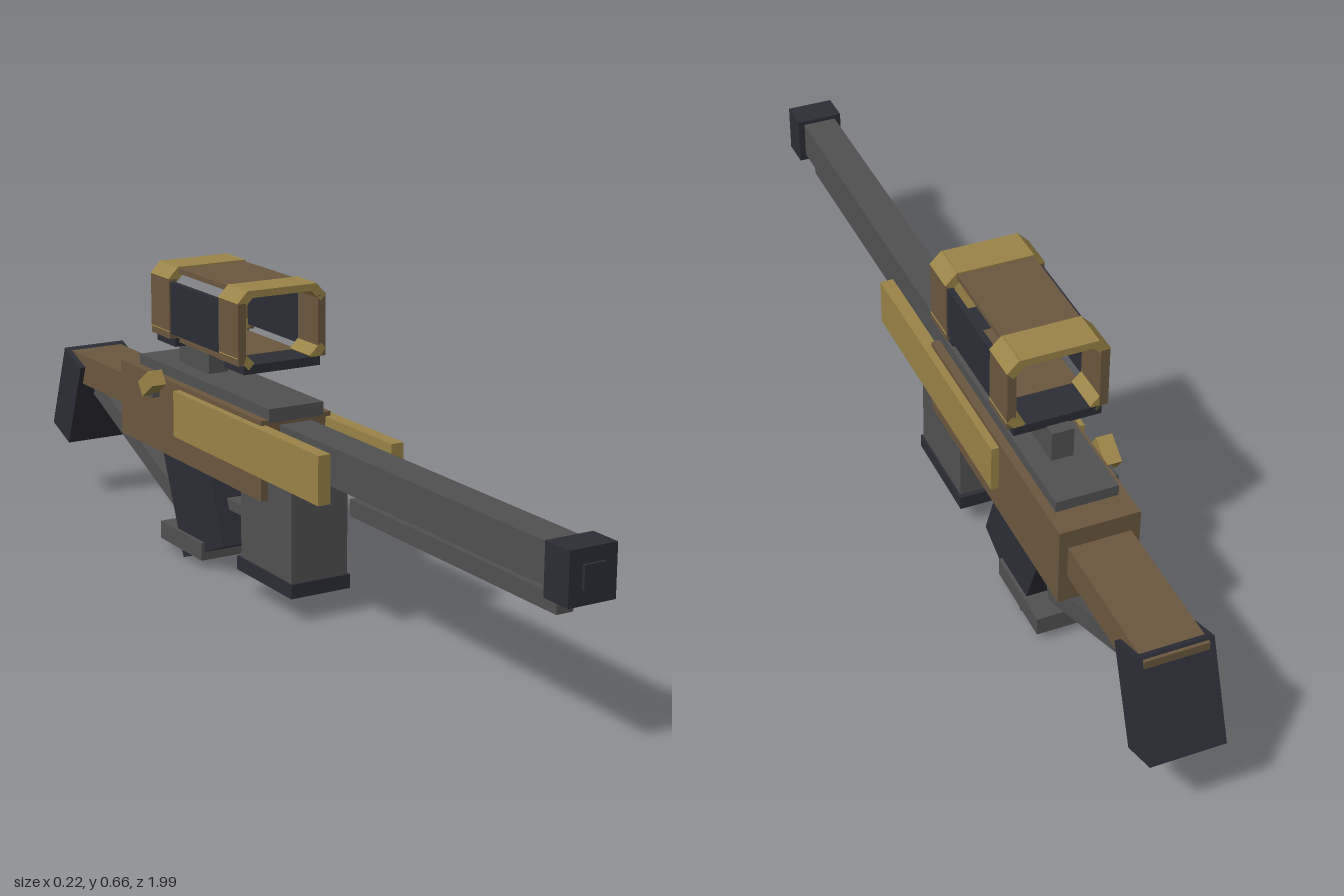
import * as THREE from 'three';

export function createModel() {
  const model = new THREE.Group();
  model.name = 'toyRifle';
  const mat = (name, color) => {
    const m = new THREE.MeshStandardMaterial({ color });
    m.name = name;
    return m;
  };
  const dark = mat('darkSlate', 0x2c2d36);
  const gray = mat('steelGray', 0x515151);
  const brown = mat('brown', 0x6b573f);
  const gold = mat('gold', 0x998347);
  const CX = 0.007; // centre line of the body

  // Box given by its x, y and z ranges
  function span(name, m, [x0, x1], [y0, y1], [z0, z1]) {
    const mesh = new THREE.Mesh(new THREE.BoxGeometry(x1 - x0, y1 - y0, z1 - z0), m);
    mesh.position.set((x0 + x1) / 2, (y0 + y1) / 2, (z0 + z1) / 2);
    mesh.name = name;
    model.add(mesh);
    return mesh;
  }
  // Box on the centre line, given by half its width
  const mid = (name, m, half, y, z) => span(name, m, [CX - half, CX + half], y, z);
  // Centred box tilted about x
  function tilted(name, m, x, width, height, depth, y, z, angle) {
    const mesh = new THREE.Mesh(new THREE.BoxGeometry(width, height, depth), m);
    mesh.position.set(x, y, z);
    mesh.rotation.x = angle;
    mesh.name = name;
    model.add(mesh);
  }

  // Barrel
  mid('muzzleTip', dark, 0.023, [0.333, 0.379], [0.95, 1.0]);
  mid('muzzle', dark, 0.051, [0.304, 0.407], [0.925, 0.993]);
  mid('barrel', gray, 0.037, [0.318, 0.398], [0, 0.93]);
  mid('underRod', gray, 0.018, [0.265, 0.3], [0.255, 0.92]);

  // Receiver and side rails
  mid('receiver', brown, 0.082, [0.242, 0.411], [-0.61, 0.018]);
  for (const s of [-1, 1]) {
    const a = CX + s * 0.07, b = CX + s * 0.098;
    span('sideRail', gold, [Math.min(a, b), Math.max(a, b)], [0.3, 0.401], [-0.33, 0.266]);
  }
  mid('topRail', gray, 0.064, [0.405, 0.434], [-0.552, 0.02]);

  // Bolt handle on the right side
  span('boltStem', gray, [-0.092, -0.06], [0.365, 0.392], [-0.48, -0.425]);
  tilted('boltHandle', gold, -0.095, 0.034, 0.035, 0.058, 0.4, -0.42, -0.6);

  // Magazine, trigger bar and grip
  mid('magazine', gray, 0.066, [0.085, 0.29], [-0.094, 0.112]);
  mid('magazineBase', dark, 0.07, [0.06, 0.09], [-0.105, 0.118]);
  mid('triggerBar', gray, 0.022, [0.152, 0.175], [-0.27, -0.09]);
  tilted('grip', dark, CX, 0.104, 0.32, 0.198, 0.191, -0.347, -0.385);
  mid('gripFoot', gray, 0.059, [0.026, 0.066], [-0.472, -0.282]);

  // Stock
  mid('stockBar', brown, 0.064, [0.302, 0.371], [-0.927, -0.6]);
  tilted('stockBrace', gray, CX, 0.06, 0.04, 0.46, 0.207, -0.665, 0.405);
  tilted('buttPad', dark, CX, 0.152, 0.212, 0.09, 0.261, -0.914, 0.362);

  // Sight
  mid('sightMount', gray, 0.023, [0.43, 0.498], [-0.44, -0.306]);
  for (const z of [[-0.117, -0.036], [-0.415, -0.332]]) {
    mid('sightBase', dark, 0.09, [0.496, 0.515], z);
    mid('sightRingTop', gold, 0.081, [0.653, 0.668], z);
    for (const s of [-1, 1]) {
      const x = CX + s * 0.094;
      span('sightRingSide', brown, [x - 0.009, x + 0.009], [0.515, 0.643], z);
      // Chamfered corners
      for (const [v, y] of [[1, 0.65], [-1, 0.524]]) {
        const c = span('sightCorner', gold, [-0.018, 0.018], [-0.0095, 0.0095], z);
        c.position.x = CX + s * 0.085;
        c.position.y = y;
        c.rotation.z = -s * v * Math.PI / 4;
      }
    }
  }
  // Panels joining the two rings
  const between = [-0.334, -0.115];
  mid('sightRoof', brown, 0.08, [0.654, 0.665], between);
  mid('sightFloor', brown, 0.08, [0.505, 0.516], between);
  for (const s of [-1, 1]) {
    const x = CX + s * 0.094;
    span('sightSidePanel', dark, [x - 0.006, x + 0.006], [0.526, 0.637], between);
  }
  return model;
}
